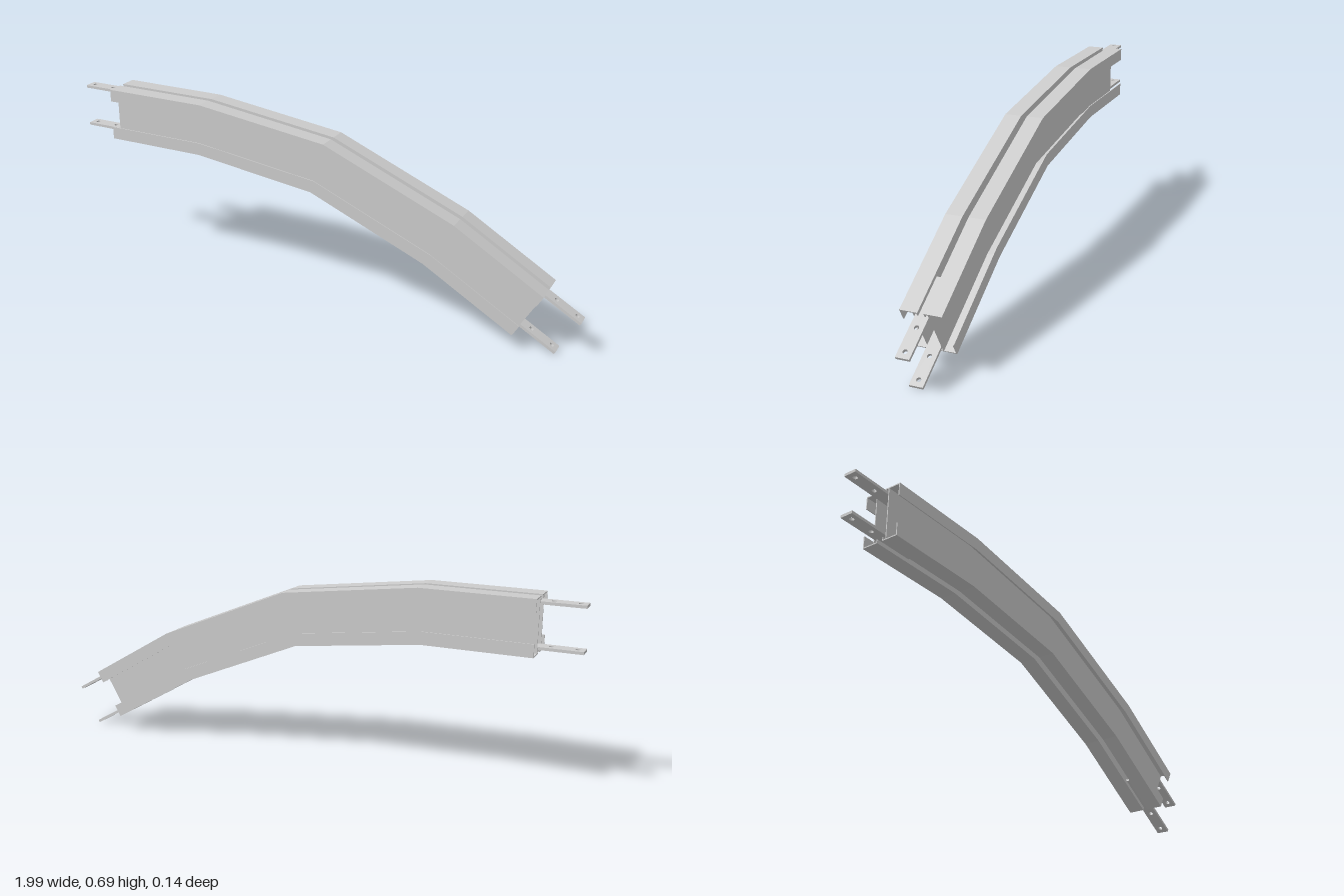
import * as THREE from 'three';

const H = 0.195; // rail height
const K = 0.004; // sheet thickness
const material = new THREE.MeshStandardMaterial({ color: 0xcccccc, flatShading: true, side: THREE.DoubleSide });

// Stations along the bend: top edge point and bottom edge point (mitred joints)
const END = Math.PI / 6;
const stations = [
  [-0.85, 0.695, -0.85, 0.5],
  [-0.45, 0.695, -0.463, 0.5],
  [0.055, 0.63, 0.005, 0.441],
  [0.547, 0.426, 0.441, 0.259],
  [0.872, 0.234, 0.872 - H * Math.sin(END), 0.234 - H * Math.cos(END)],
];

// Section of one half as [z, depth below the top]: I-web, flanges, outer and inner lips
const upper = [
  [0.0235, K], [0.014, K], [0.014, 0.014], [0.0105, 0.014], [0.0105, 0],
  [0.071, 0], [0.071, 0.046], [0.0675, 0.046], [0.0675, K], [0.027, K],
];
const section = [...upper, ...upper.map(([z, d]) => [z, H - d]).reverse()];

// Sweep the section through the stations and close both ends
function sweepRail(side) {
  const n = section.length;
  const positions = [];
  const rings = stations.map(([tx, ty, bx, by]) => section.map(([z, d]) => {
    const f = d / H;
    return [tx + (bx - tx) * f, ty + (by - ty) * f, z * side];
  }));
  const tri = (a, b, c) => positions.push(...a, ...(side > 0 ? b : c), ...(side > 0 ? c : b));
  for (let i = 0; i < rings.length - 1; i++) {
    for (let j = 0; j < n; j++) {
      const k = (j + 1) % n;
      const [a, b, c, d] = [rings[i][j], rings[i][k], rings[i + 1][k], rings[i + 1][j]];
      tri(a, c, b);
      tri(a, d, c);
    }
  }
  const faces = THREE.ShapeUtils.triangulateShape(section.map(([z, d]) => new THREE.Vector2(z, d)), []);
  const last = rings[rings.length - 1];
  for (const [a, b, c] of faces) {
    tri(rings[0][a], rings[0][b], rings[0][c]);
    tri(last[a], last[c], last[b]);
  }
  const geometry = new THREE.BufferGeometry();
  geometry.setAttribute('position', new THREE.Float32BufferAttribute(positions, 3));
  geometry.computeVertexNormals();
  return geometry;
}

// Flat joining plate with two bolt holes in its outer half (+x is outward)
function plateGeometry() {
  const L = 0.15, W = 0.0235, T = 0.01;
  const shape = new THREE.Shape();
  shape.moveTo(-L, -W).lineTo(L, -W).lineTo(L, W).lineTo(-L, W).closePath();
  for (const x of [0.04, 0.126]) {
    const hole = new THREE.Path();
    hole.absarc(x, 0, 0.008, 0, Math.PI * 2, true);
    shape.holes.push(hole);
  }
  const geometry = new THREE.ExtrudeGeometry(shape, { depth: T, bevelEnabled: false, curveSegments: 12 });
  return geometry.translate(0, 0, -T / 2).rotateX(-Math.PI / 2);
}

export function createModel() {
  const group = new THREE.Group();
  group.name = 'bentRail';

  // Two mirrored channel halves
  for (const [name, side] of [['frontChannel', 1], ['backChannel', -1]]) {
    const rail = new THREE.Mesh(sweepRail(side), material);
    rail.name = name;
    group.add(rail);
  }

  // Joining plates, top and bottom at each end
  const plate = plateGeometry();
  const ends = [['left', stations[0], Math.PI], ['right', stations[stations.length - 1], -END]];
  for (const [end, [tx, ty, bx, by], angle] of ends) {
    for (const [level, depth] of [['Upper', 0.0215], ['Lower', H - 0.0215]]) {
      const mesh = new THREE.Mesh(plate, material);
      const f = depth / H;
      mesh.name = `${end}${level}Plate`;
      mesh.position.set(tx + (bx - tx) * f, ty + (by - ty) * f, 0);
      mesh.rotation.z = angle;
      group.add(mesh);
    }
  }

  // Centre the model and stand it on the ground
  const box = new THREE.Box3().setFromObject(group, true);
  const centre = box.getCenter(new THREE.Vector3());
  for (const part of group.children) {
    part.position.x -= centre.x;
    part.position.y -= box.min.y;
  }
  return group;
}
